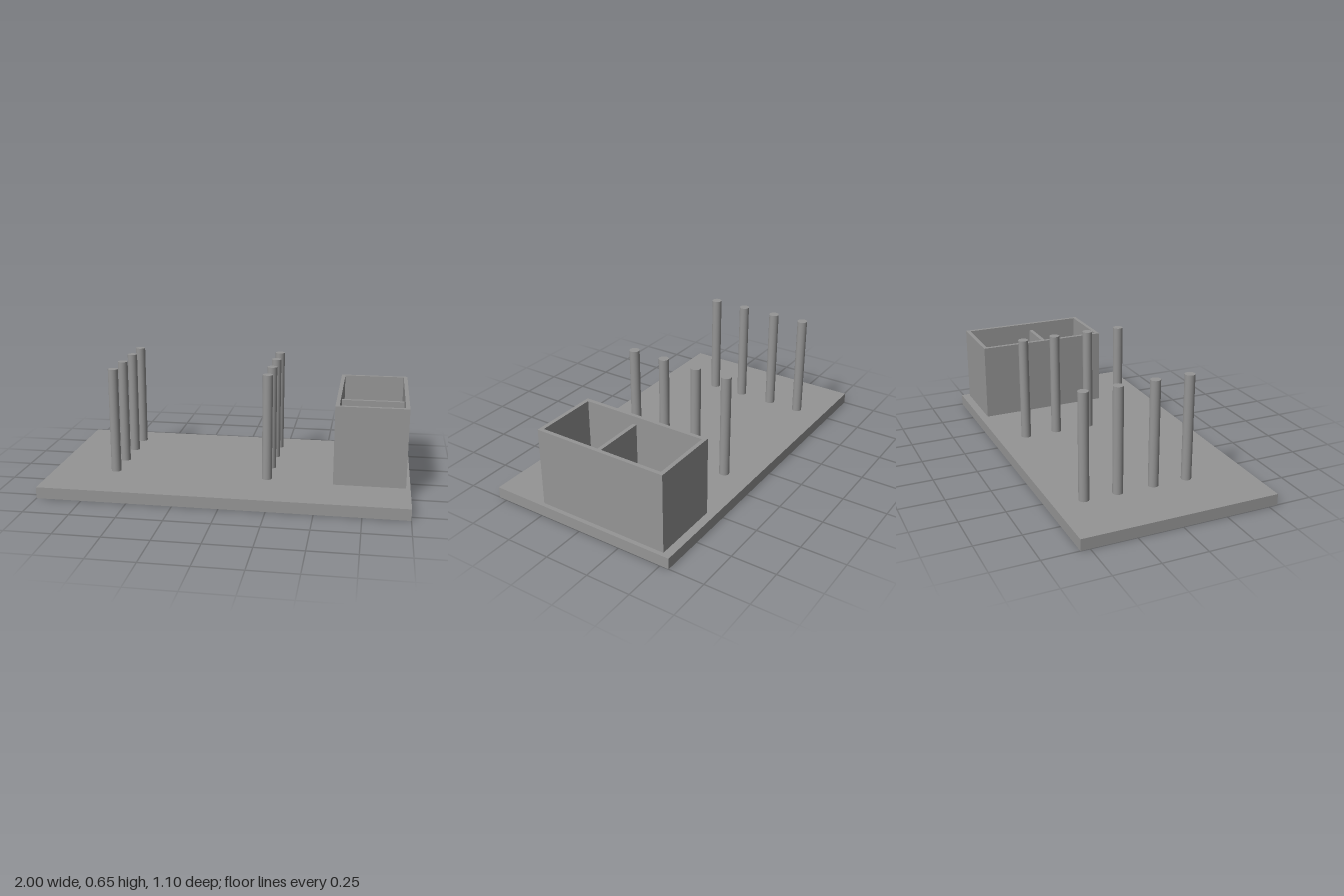
import * as THREE from 'three';

export function createModel() {
  const group = new THREE.Group();
  const material = new THREE.MeshStandardMaterial({ color: 0x959595 });

  // Adds a named mesh
  const add = (name, geometry, x, y, z) => {
    const mesh = new THREE.Mesh(geometry, material);
    mesh.name = name;
    mesh.position.set(x, y, z);
    group.add(mesh);
  };

  const top = 0.063; // upper face of the base plate

  // Base plate
  add('basePlate', new THREE.BoxGeometry(2, top, 1.1), 0, top / 2, 0);

  // Two rows of upright pegs
  const pegHeight = 0.654 - top;
  const peg = new THREE.CylinderGeometry(0.028, 0.028, pegHeight, 32);
  for (const x of [-0.649, 0.215]) {
    for (const z of [0.207, 0.011, -0.194, -0.383]) {
      add('peg', peg, x, top + pegHeight / 2, z);
    }
  }

  // Open storage box: walls extruded upwards from a frame outline
  const x0 = 0.583, x1 = 0.976, z0 = -0.504, z1 = 0.25, wall = 0.022, rim = 0.505;
  const rectangle = (target, inset) => {
    target.moveTo(x0 + inset, -z1 + inset);
    target.lineTo(x1 - inset, -z1 + inset);
    target.lineTo(x1 - inset, -z0 - inset);
    target.lineTo(x0 + inset, -z0 - inset);
    target.closePath();
    return target;
  };
  const frame = rectangle(new THREE.Shape(), 0);
  frame.holes.push(rectangle(new THREE.Path(), wall));
  const walls = new THREE.ExtrudeGeometry(frame, { depth: rim - top, bevelEnabled: false });
  walls.rotateX(-Math.PI / 2);
  add('boxWalls', walls, 0, top, 0);

  // Box floor and the lower divider between its compartments
  const cx = (x0 + x1) / 2, innerWidth = x1 - x0 - 2 * wall;
  add('boxFloor', new THREE.BoxGeometry(innerWidth, wall, z1 - z0 - 2 * wall), cx, top + wall / 2, (z0 + z1) / 2);
  const dividerTop = 0.46;
  add('boxDivider', new THREE.BoxGeometry(innerWidth, dividerTop - top - wall, wall), cx, (dividerTop + top + wall) / 2, -0.074);

  return group;
}
